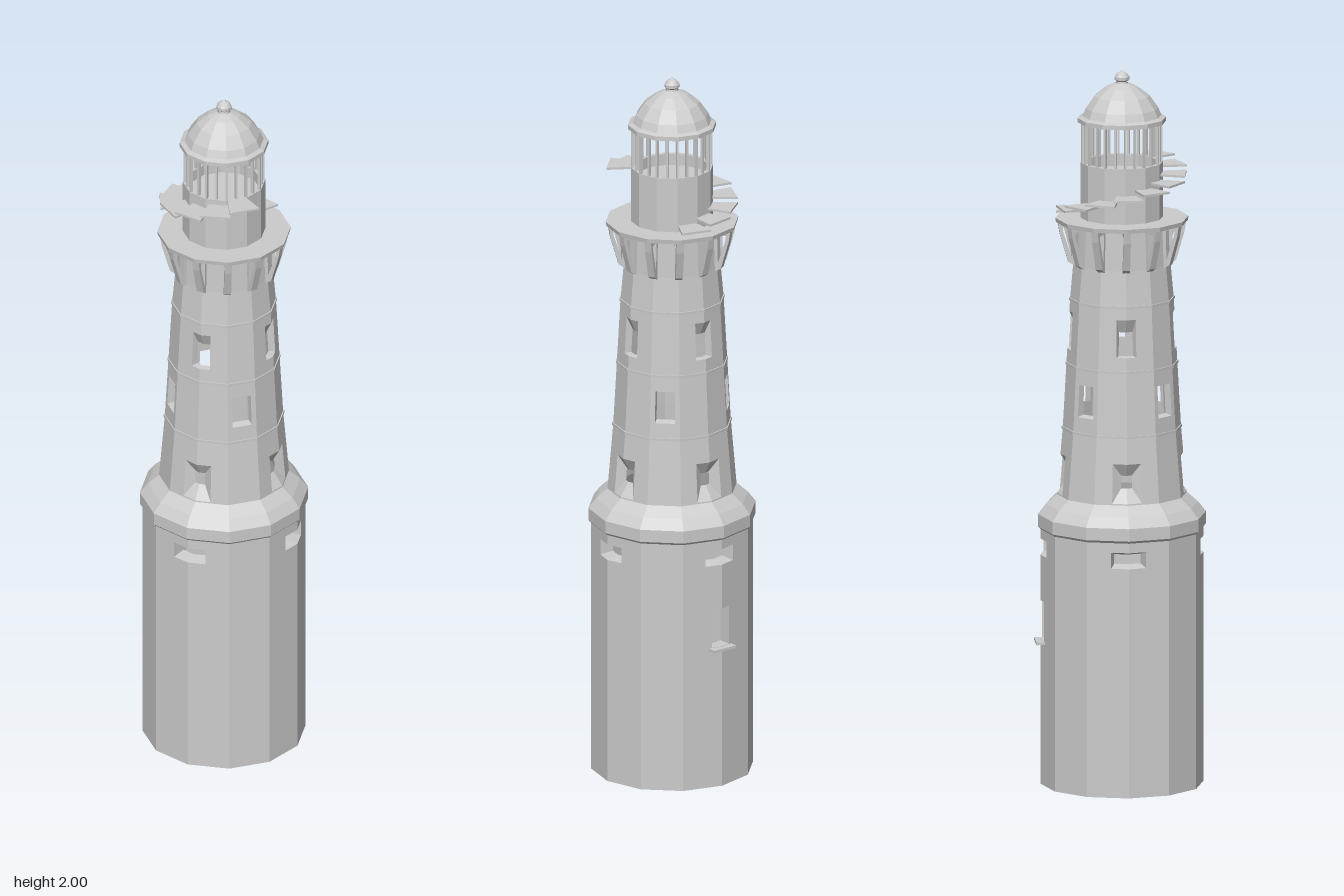
import * as THREE from 'three';

const SIDES = 12, SEG = Math.PI * 2 / SIDES, DEG = Math.PI / 180;
const mat = new THREE.MeshStandardMaterial({ color: 0xcccccc, flatShading: true, side: THREE.DoubleSide });

function add(parent, name, geometry) {
  const m = new THREE.Mesh(geometry, mat);
  m.name = name;
  parent.add(m);
  return m;
}

// twelve-sided turned part from [radius, y] points
const turned = (pts) => new THREE.LatheGeometry(pts.map(([r, y]) => new THREE.Vector2(r, y)), SIDES);

// point on a twelve-sided wall; angle 0 is the front
function wallPoint(profile, a, y) {
  let i = 0;
  while (i < profile.length - 2 && y > profile[i + 1][1]) i++;
  const [r0, y0] = profile[i], [r1, y1] = profile[i + 1];
  const r = r0 + (r1 - r0) * (y - y0) / (y1 - y0);
  const local = ((a % SEG) + SEG) % SEG - SEG / 2;
  const d = r * Math.cos(SEG / 2) / Math.cos(local);
  return [d * Math.sin(a), y, d * Math.cos(a)];
}

const sortedUnique = (list) => list.sort((p, q) => p - q).filter((v, i, l) => !i || v - l[i - 1] > 1e-5);

// hollow wall with splayed openings
function hollowWall(outer, inner, openings) {
  const pos = [];
  const quad = (a, b, c, d) => pos.push(...a, ...b, ...c, ...a, ...c, ...d);
  const rects = (profile, key) => openings.map((o) => {
    const [w, y0, y1] = o[key];
    const p = wallPoint(profile, o.a, (y0 + y1) / 2);
    const h = w / Math.hypot(p[0], p[2]);
    return { a0: o.a - h, am: o.a, a1: o.a + h, y0, y1 };
  });

  const skin = (profile, holes, inward) => {
    const start = -20 * DEG;
    const angles = [start, start + Math.PI * 2];
    for (let i = 0; i < SIDES; i++) angles.push(i * SEG);
    const ys = profile.map((p) => p[1]);
    holes.forEach((h) => { angles.push(h.a0, h.a1); ys.push(h.y0, h.y1); });
    const A = sortedUnique(angles), Y = sortedUnique(ys);
    for (let i = 0; i < A.length - 1; i++) for (let j = 0; j < Y.length - 1; j++) {
      const am = (A[i] + A[i + 1]) / 2, ym = (Y[j] + Y[j + 1]) / 2;
      if (holes.some((h) => am > h.a0 && am < h.a1 && ym > h.y0 && ym < h.y1)) continue;
      const q = [[A[i], Y[j]], [A[i + 1], Y[j]], [A[i + 1], Y[j + 1]], [A[i], Y[j + 1]]]
        .map(([a, y]) => wallPoint(profile, a, y));
      quad(...(inward ? q.reverse() : q));
    }
  };

  const outerRects = rects(outer, 'out'), innerRects = rects(inner, 'in');
  skin(outer, outerRects, false);
  skin(inner, innerRects, true);

  // reveals joining outer and inner rims of each opening
  const loop = (profile, h) => [[h.a0, h.y0], [h.am, h.y0], [h.a1, h.y0], [h.a1, h.y1], [h.am, h.y1], [h.a0, h.y1]]
    .map(([a, y]) => wallPoint(profile, a, y));
  outerRects.forEach((h, k) => {
    const o = loop(outer, h), n = loop(inner, innerRects[k]);
    for (let i = 0; i < 6; i++) { const j = (i + 1) % 6; quad(o[i], o[j], n[j], n[i]); }
  });

  // bottom rim
  for (let i = 0; i < SIDES; i++) {
    const a = i * SEG, b = a + SEG;
    quad(wallPoint(inner, a, 0), wallPoint(inner, b, 0), wallPoint(outer, b, 0), wallPoint(outer, a, 0));
  }
  const g = new THREE.BufferGeometry();
  g.setAttribute('position', new THREE.Float32BufferAttribute(pos, 3));
  g.computeVertexNormals();
  return g;
}

// flat wedge tread between two angles
function tread(a0, a1, r0, r1, thickness) {
  const pt = (r, a) => new THREE.Vector2(r * Math.sin(a), -r * Math.cos(a));
  const shape = new THREE.Shape([pt(r0, a0), pt(r1, a0), pt(r1, a1), pt(r0, a1)]);
  return new THREE.ExtrudeGeometry(shape, { depth: thickness, bevelEnabled: false }).rotateX(-Math.PI / 2);
}

export function createModel() {
  const model = new THREE.Group();
  model.name = 'lighthouse';

  // tower with slots, embrasures, windows and a back doorway
  const outer = [[0.225, 0], [0.225, 0.715], [0.232, 0.722], [0.232, 0.757], [0.21, 0.785], [0.179, 0.812],
    [0.163, 1.0], [0.153, 1.18], [0.143, 1.36], [0.134, 1.46], [0.13, 1.576]];
  const inner = [[0.187, 0], [0.187, 0.72], [0.155, 0.81], [0.142, 1.0], [0.134, 1.18], [0.123, 1.36], [0.11, 1.576]];
  const openings = [];
  for (let i = 0; i < 4; i++) {
    const a = i * Math.PI / 2;
    openings.push(
      { a, out: [0.05, 0.643, 0.688], in: [0.038, 0.65, 0.677] },
      { a, out: [0.042, 0.816, 0.925], in: [0.015, 0.855, 0.89] },
      { a: a + Math.PI / 4, out: [0.027, 1.045, 1.135], in: [0.025, 1.05, 1.13] },
      { a, out: [0.028, 1.22, 1.325], in: [0.02, 1.222, 1.288] });
  }
  openings.push({ a: Math.PI, out: [0.03, 0.405, 0.515], in: [0.03, 0.405, 0.515] });
  add(model, 'towerWall', hollowWall(outer, inner, openings));

  // thin string courses
  for (const [r, y] of [[0.163, 1.0], [0.153, 1.18], [0.143, 1.36]]) {
    add(model, 'stringCourse', turned([[r - 0.003, y - 0.004], [r + 0.003, y - 0.004], [r + 0.003, y + 0.003], [r - 0.003, y + 0.003]]));
  }

  // doorstep at the back
  add(model, 'doorstep', new THREE.BoxGeometry(0.076, 0.008, 0.035)).position.set(0, 0.4, -0.2215);

  // gallery deck on brackets
  add(model, 'galleryDeck', new THREE.CylinderGeometry(0.184, 0.182, 0.012, SIDES)).position.y = 1.581;
  const bracket = new THREE.Shape([[0.125, 1.576], [0.177, 1.576], [0.172, 1.545], [0.149, 1.465], [0.125, 1.45]]
    .map((p) => new THREE.Vector2(...p)));
  bracket.holes.push(new THREE.Path([[0.138, 1.562], [0.14, 1.48], [0.163, 1.55], [0.164, 1.562]]
    .map((p) => new THREE.Vector2(...p))));
  const bracketGeo = new THREE.ExtrudeGeometry(bracket, { depth: 0.02, bevelEnabled: false }).translate(0, 0, -0.01);
  for (let i = 0; i < SIDES; i++) add(model, 'galleryBracket', bracketGeo).rotation.y = i * SEG;

  // lantern base with an open parapet
  add(model, 'lanternBase', turned([[0.114, 1.586], [0.114, 1.742], [0.1, 1.742], [0.1, 1.71], [0, 1.71]]));

  // treads winding up around the lantern
  for (let i = 0; i < 10; i++) {
    const a = (151 + 26.7 * i) * DEG;
    add(model, 'stairTread', tread(a, a + 27.5 * DEG, 0.108, 0.181, 0.006)).position.y = 1.6 + 0.0152 * i;
  }

  // glazing bars and rails
  const bars = new THREE.Group();
  bars.name = 'lanternGlazing';
  model.add(bars);
  const barGeo = new THREE.BoxGeometry(0.006, 0.118, 0.008);
  for (let i = 0; i < 24; i++) {
    const a = i * Math.PI / 12, r = i % 2 ? 0.108 * Math.cos(SEG / 2) : 0.108;
    const bar = add(bars, 'glazingBar', barGeo);
    bar.position.set(r * Math.sin(a), 1.8, r * Math.cos(a));
    bar.rotation.y = a;
  }

  // eave and dome
  add(model, 'domeRoof', turned([[0.1, 1.852], [0.122, 1.854], [0.122, 1.866], [0.109, 1.871], [0.1, 1.893],
    [0.076, 1.927], [0.045, 1.951], [0.018, 1.963]]));
  add(model, 'domeCeiling', turned([[0.102, 1.853], [0.07, 1.905], [0, 1.94]]));

  // finial
  add(model, 'finial', turned([[0.016, 1.958], [0.014, 1.967], [0.021, 1.972], [0.021, 1.98], [0.015, 1.989], [0.005, 1.995], [0, 2]]));

  return model;
}
